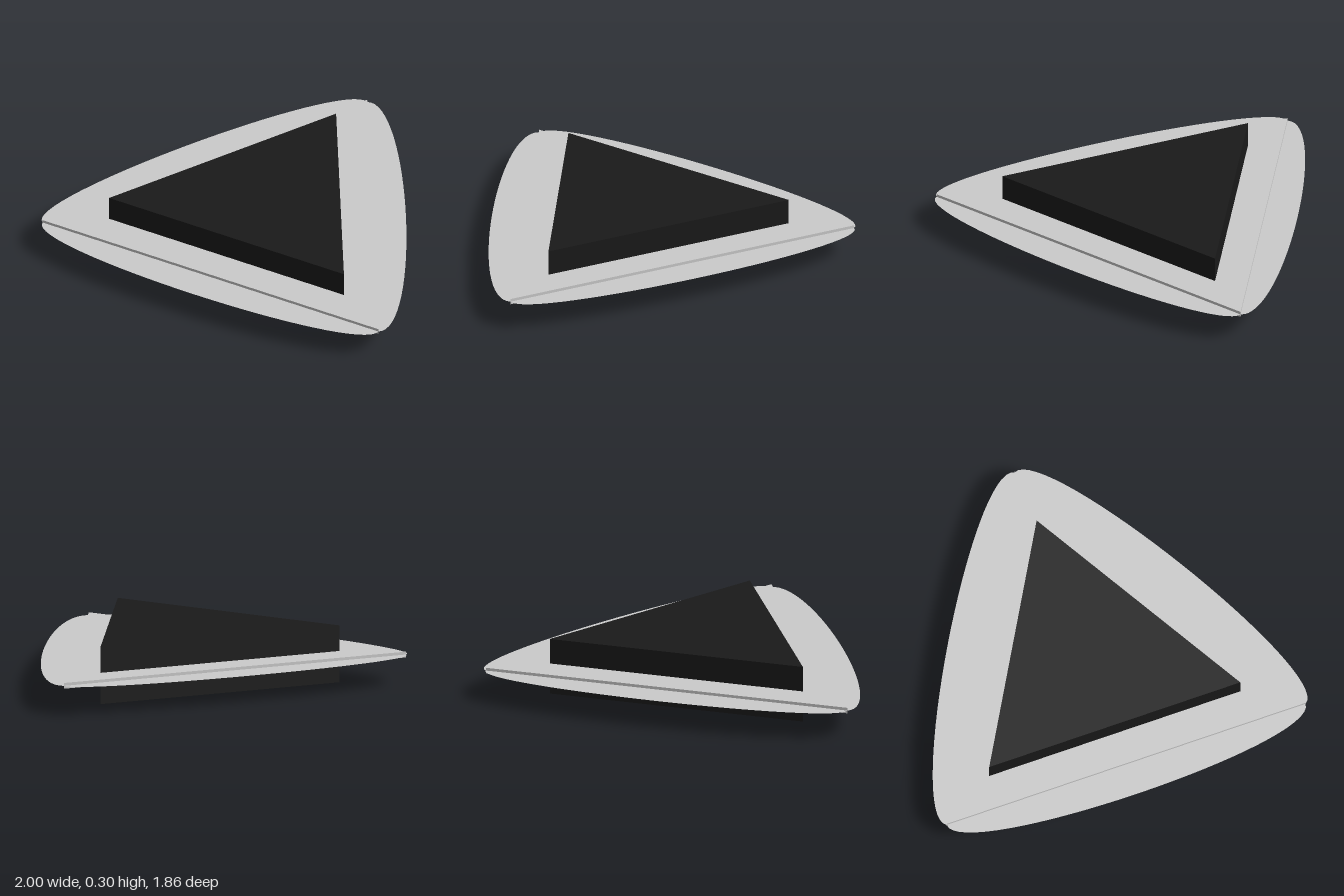
import * as THREE from 'three';

const MID = 0.148; // height of the middle plane

// Triangle in plan, given half width, front z and back apex z (shape y = -z)
function triangle(halfWidth, frontZ, backZ) {
  return new THREE.Shape([
    new THREE.Vector2(-halfWidth, -frontZ),
    new THREE.Vector2(halfWidth, -frontZ),
    new THREE.Vector2(0, -backZ),
  ]);
}

// Upright prism centred on the middle plane
function prism(shape, height, material, name) {
  const geometry = new THREE.ExtrudeGeometry(shape, { depth: height, bevelEnabled: false });
  geometry.rotateX(-Math.PI / 2);
  geometry.translate(0, MID - height / 2, 0);
  const mesh = new THREE.Mesh(geometry, material);
  mesh.name = name;
  return mesh;
}

export function createModel() {
  const model = new THREE.Group();
  model.name = 'triangularBody';

  const dark = new THREE.MeshStandardMaterial({ color: 0x1a1a1a });
  const grey = new THREE.MeshStandardMaterial({ color: 0xcccccc });
  const sheet = new THREE.MeshStandardMaterial({ color: 0xcccccc, side: THREE.DoubleSide });

  // Thick dark core and the thin plate around it
  model.add(prism(triangle(0.682, 0.589, -0.592), 0.296, dark, 'core'));
  const plateShape = triangle(0.975, 0.761, -0.927);
  model.add(prism(plateShape, 0.03, grey, 'plate'));

  // Flat curved fin along each edge of the plate
  const bulge = 0.226; // handle length; the fin reaches three quarters of it
  const corners = plateShape.getPoints().slice(0, 3);
  ['frontFin', 'leftFin', 'rightFin'].forEach((name, i) => {
    const a = corners[i];
    const b = corners[(i + 1) % 3];
    const d = b.clone().sub(a).normalize();
    const out = new THREE.Vector2(d.y, -d.x).multiplyScalar(bulge);
    const fin = new THREE.Shape();
    fin.moveTo(a.x, a.y);
    fin.bezierCurveTo(a.x + out.x, a.y + out.y, b.x + out.x, b.y + out.y, b.x, b.y);
    fin.closePath();
    const geometry = new THREE.ShapeGeometry(fin, 32);
    geometry.rotateX(-Math.PI / 2);
    geometry.translate(0, MID, 0);
    const mesh = new THREE.Mesh(geometry, sheet);
    mesh.name = name;
    model.add(mesh);
  });

  return model;
}
